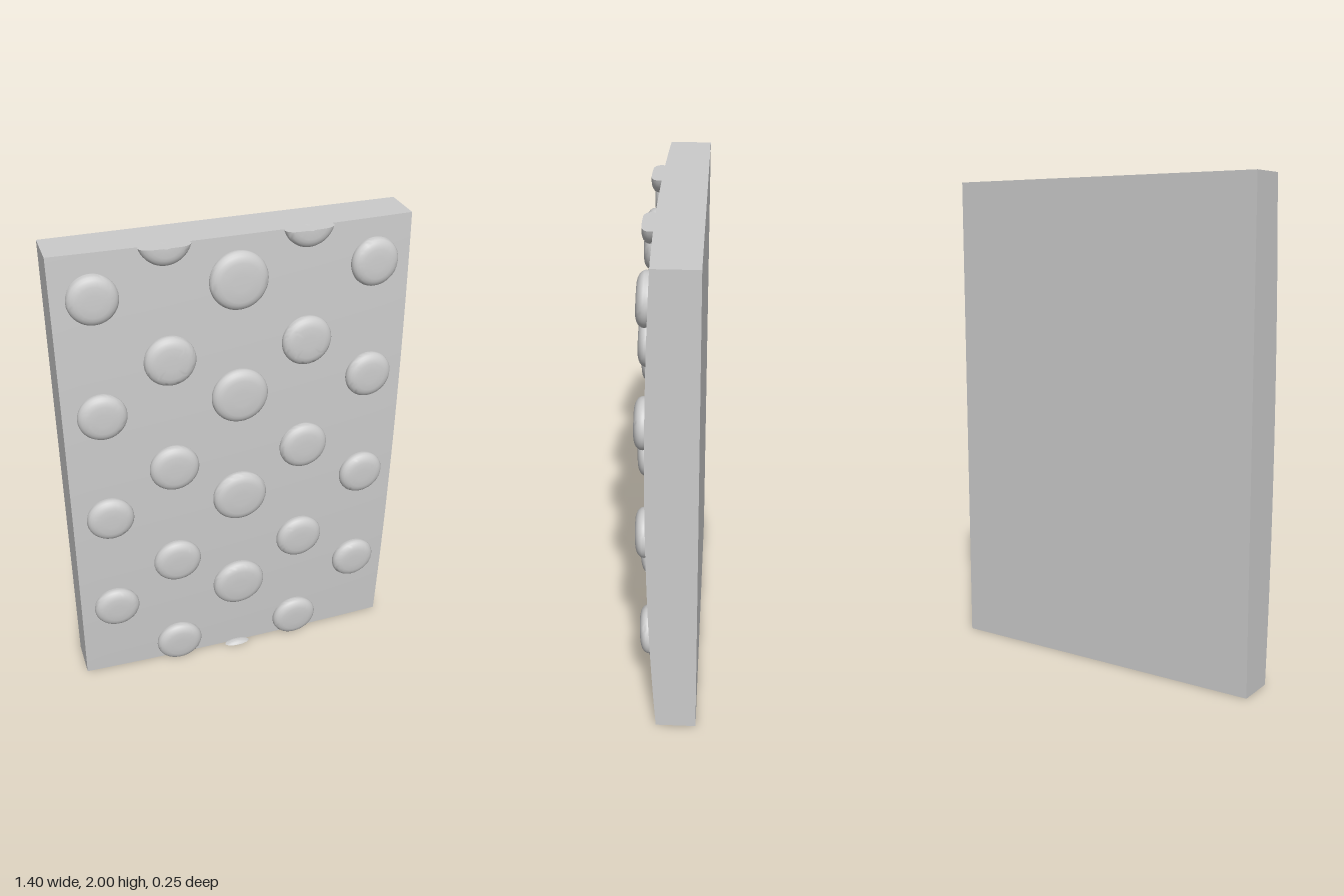
import * as THREE from 'three';
import { mergeVertices, toCreasedNormals } from 'three/addons/utils/BufferGeometryUtils.js';

const HALF_WIDTH = 0.7, HEIGHT = 2, BACK = -0.125;

// Gently domed front surface of the slab
const frontZ = (x, y) => 0.083 - 0.03 * (y - 1.03) ** 2 - 0.013 * (x / HALF_WIDTH) ** 2;

function slabGeometry() {
  const geo = new THREE.BoxGeometry(HALF_WIDTH * 2, HEIGHT, 1, 16, 24, 1);
  geo.translate(0, HEIGHT / 2, 0);
  const p = geo.attributes.position;
  for (let i = 0; i < p.count; i++) {
    p.setZ(i, p.getZ(i) > 0 ? frontZ(p.getX(i), p.getY(i)) : BACK);
  }
  geo.computeVertexNormals();
  return geo;
}

// Pillow-shaped round stud that follows the dome and is cut flush at the slab ends
function studGeometry(cx, cy, r) {
  const base = -0.02;
  const profile = [
    [r - 0.004, base], [r - 0.003, 0], [r, 0.01], [r - 0.001, 0.018], [r - 0.006, 0.027],
    [r - 0.014, 0.034], [r - 0.025, 0.039], [r - 0.038, 0.042], [r * 0.3, 0.043], [0, 0.043],
  ].map(([x, y]) => new THREE.Vector2(x, y));
  let geo = new THREE.LatheGeometry(profile, 48);
  geo.rotateX(Math.PI / 2);
  const p = geo.attributes.position;
  for (let i = 0; i < p.count; i++) {
    let x = p.getX(i), z = p.getZ(i);
    const dy = p.getY(i), rho = Math.hypot(x, dy);
    const y = THREE.MathUtils.clamp(cy + dy, 0, HEIGHT);
    if (y !== cy + dy) {
      // Pull cut-off vertices onto the chord where this ring meets the end plane
      const half = Math.sqrt(Math.max(0, rho * rho - (y - cy) ** 2));
      x = THREE.MathUtils.clamp(x, -half, half);
      if (half === 0) z = base;
    }
    p.setXYZ(i, cx + x, y, z + frontZ(cx + x, y));
  }
  geo.deleteAttribute('uv');
  geo.deleteAttribute('normal');
  geo = mergeVertices(geo);
  return toCreasedNormals(geo, 0.8);
}

export function createModel() {
  const model = new THREE.Group();
  const material = new THREE.MeshStandardMaterial({ color: 0xcccccc });
  const add = (name, geometry, parent) => {
    const mesh = new THREE.Mesh(geometry, material);
    mesh.name = name;
    parent.add(mesh);
  };

  add('slab', slabGeometry(), model);

  // Staggered columns of studs: x positions, radius, first height, count
  const columns = [
    { name: 'centreStud', xs: [0], r: 0.115, start: -0.1, count: 5 },
    { name: 'innerStud', xs: [-0.275, 0.275], r: 0.102, start: 0.096, count: 5 },
    { name: 'outerStud', xs: [-0.548, 0.548], r: 0.097, start: 0.381, count: 4 },
  ];
  const pitch = 0.483;
  const studs = new THREE.Group();
  studs.name = 'studs';
  for (const { name, xs, r, start, count } of columns) {
    for (const x of xs) {
      for (let i = 0; i < count; i++) add(name, studGeometry(x, start + i * pitch, r), studs);
    }
  }
  model.add(studs);
  return model;
}
